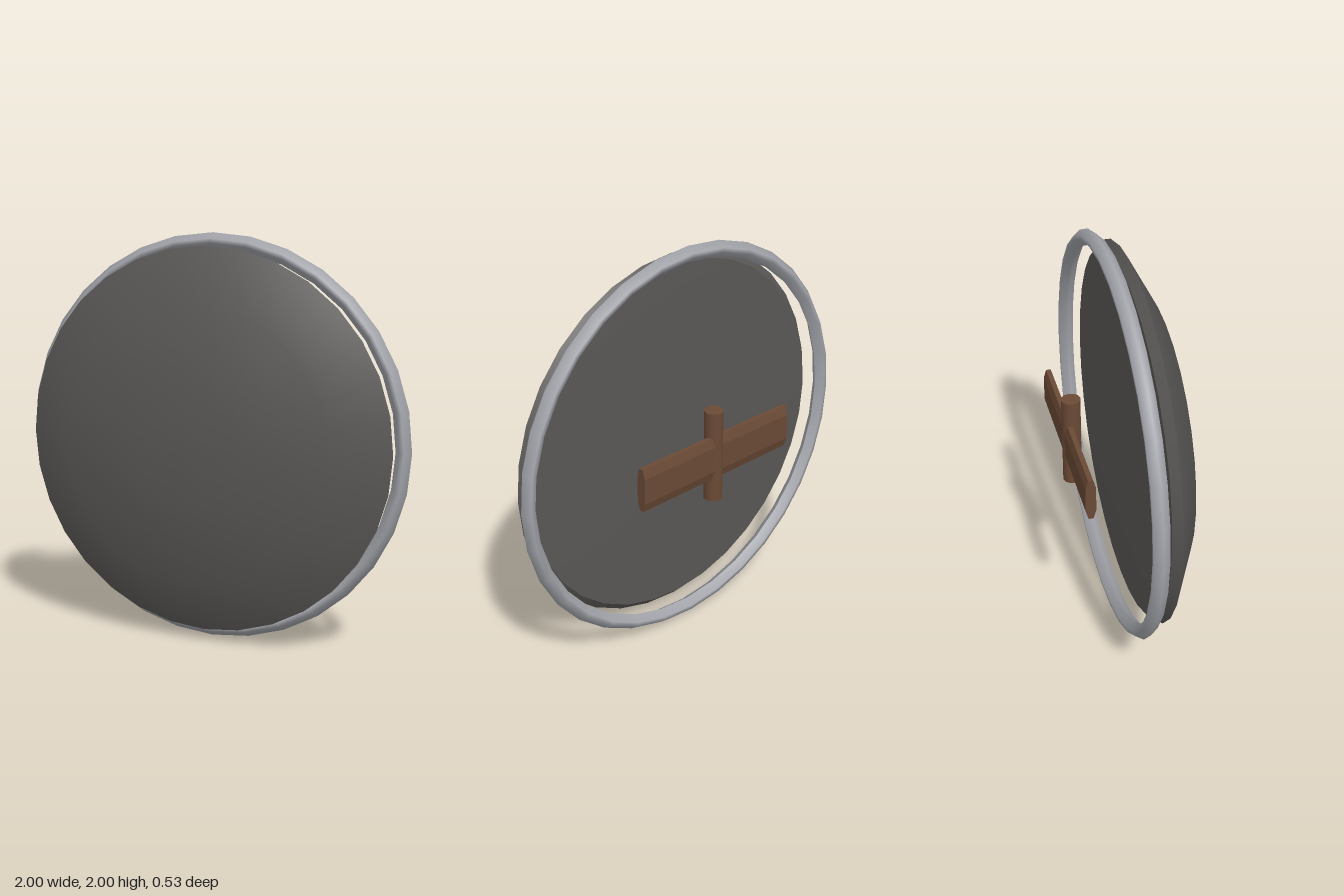
import * as THREE from 'three';

const SIDES = 32;

// Revolves (radius, z) points around the z axis; points run from back to front.
function turned(name, points, material) {
  const geometry = new THREE.LatheGeometry(points.map(([r, z]) => new THREE.Vector2(r, z)), SIDES);
  geometry.rotateX(Math.PI / 2);
  const mesh = new THREE.Mesh(geometry, material);
  mesh.name = name;
  return mesh;
}

export function createModel() {
  const model = new THREE.Group();
  model.name = 'roundShield';
  const dark = new THREE.MeshStandardMaterial({ color: 0x5a5856 });
  const metal = new THREE.MeshStandardMaterial({ color: 0xa2a4aa });
  const wood = new THREE.MeshStandardMaterial({ color: 0x6b4a36 });

  // Domed disc: back plate, bevelled edge and curved face, creased where they meet
  const disc = new THREE.Group();
  disc.name = 'disc';
  disc.add(
    turned('backPlate', [[0, 0.011], [0.3, 0.012], [0.68, 0.018], [0.9, 0.025]], dark),
    turned('edgeBevel', [[0.9, 0.025], [0.94, 0.065]], dark),
    turned('dome', [[0.94, 0.065], [0.68, 0.2], [0.28, 0.264], [0, 0.268]], dark)
  );
  disc.position.y = 1;

  // Rim ring behind the disc
  const rim = turned('rim', [
    [0.922, -0.04], [0.95, -0.077], [0.972, -0.077], [1, -0.04],
    [0.972, -0.003], [0.95, -0.003], [0.922, -0.04]
  ], metal);
  rim.position.y = 1;

  // Upright grip
  const grip = new THREE.Mesh(new THREE.CylinderGeometry(0.047, 0.047, 0.47, 12), wood);
  grip.name = 'grip';
  grip.position.set(0, 1.005, -0.22);

  // Flat crossbar with chamfered edges
  const section = new THREE.Shape([
    [-0.012, -0.11], [0.012, -0.11], [0.025, -0.065], [0.025, 0.065],
    [0.012, 0.11], [-0.012, 0.11], [-0.025, 0.065], [-0.025, -0.065]
  ].map(([x, y]) => new THREE.Vector2(x, y)));
  const barGeometry = new THREE.ExtrudeGeometry(section, { depth: 0.94, bevelEnabled: false });
  barGeometry.translate(0, 0, -0.47);
  barGeometry.rotateY(Math.PI / 2);
  const crossbar = new THREE.Mesh(barGeometry, wood);
  crossbar.name = 'crossbar';
  crossbar.position.set(0, 1, -0.235);

  model.add(disc, rim, grip, crossbar);
  return model;
}
